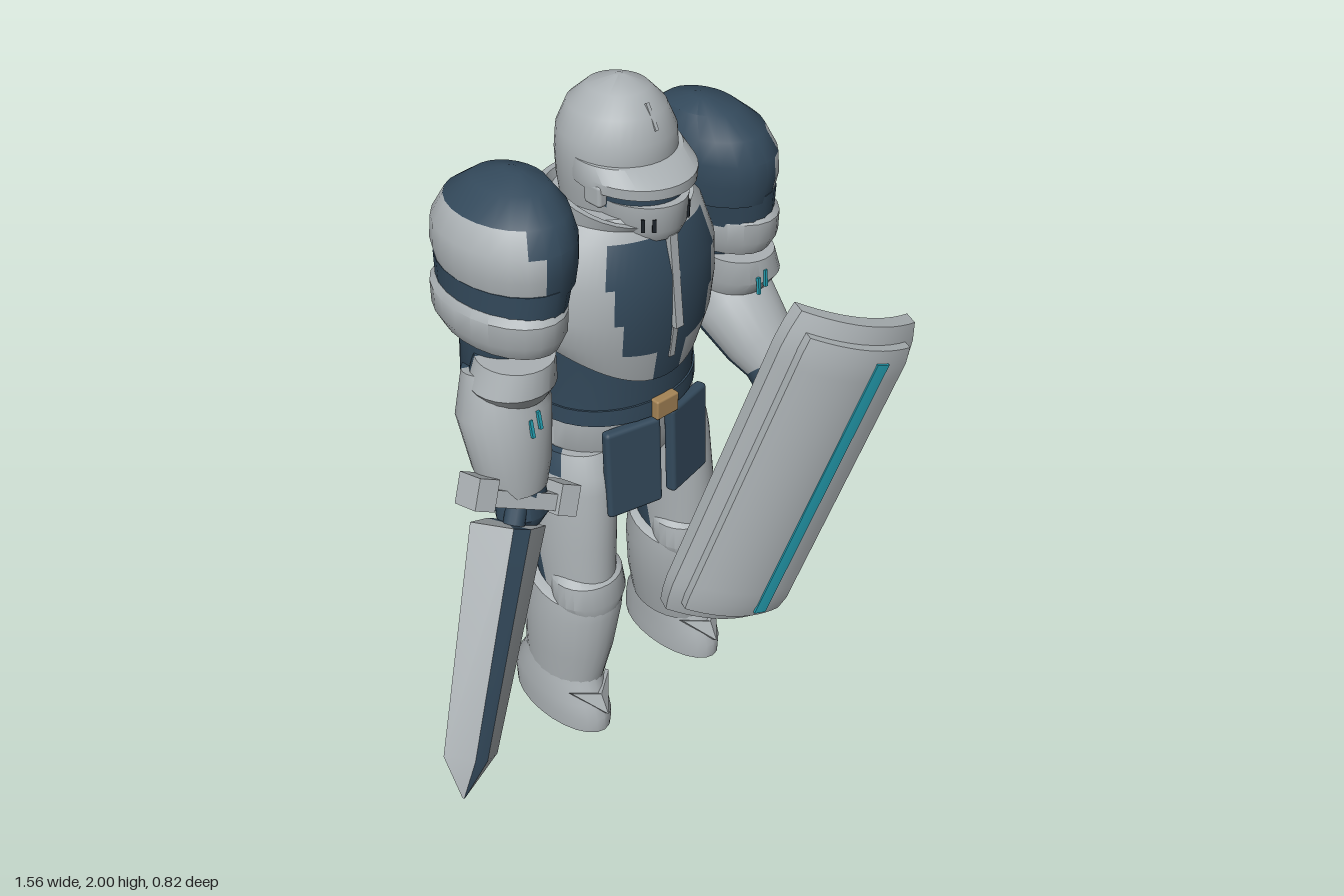
import * as THREE from 'three';
import { toCreasedNormals } from 'three/addons/utils/BufferGeometryUtils.js';
import { RoundedBoxGeometry } from 'three/addons/geometries/RoundedBoxGeometry.js';

const mat = (name, color, side = THREE.FrontSide) => {
  const m = new THREE.MeshStandardMaterial({ color, side });
  m.name = name;
  return m;
};

export function createModel() {
  const light = mat('light armour', 0xabb1b4, THREE.DoubleSide);
  const dark = mat('dark blue armour', 0x33495b);
  const cyan = mat('cyan light', 0x25a2b5);
  const tan = mat('buckle tan', 0xa58456);
  const black = mat('vent black', 0x1c2228);
  const palette = [light, dark];
  const L = 0, D = 1, NONE = -1;

  const root = new THREE.Group();
  root.name = 'armouredKnight';
  const body = new THREE.Group();
  body.name = 'body';
  body.position.x = 0.1;
  root.add(body);

  const add = (parent, name, geo, material, x = 0, y = 0, z = 0) => {
    const m = new THREE.Mesh(geo, material);
    m.name = name;
    m.position.set(x, y, z);
    parent.add(m);
    return m;
  };
  const box = (w, h, d) => new THREE.BoxGeometry(w, h, d);

  // Surface through elliptical rings [y, cx, cz, rx, rz], rising in y.
  // paint(angle in degrees from the front, row) picks a palette entry.
  function loft(parent, name, rings, paint = () => L, o = {}) {
    const seg = o.seg || 36, phase = o.phase || 0, cap = o.cap !== false;
    const shape = o.shape || (a => [Math.sin(a), Math.cos(a)]);
    const pos = [], buckets = [[], []];
    rings.forEach(([y, cx, cz, rx, rz], i) => {
      for (let j = 0; j < seg; j++) {
        const a = (j / seg) * Math.PI * 2 + phase, [sx, sz] = shape(a);
        pos.push(cx + rx * sx, y + (o.lift ? o.lift(a, i) : 0), cz + rz * sz);
      }
    });
    const last = rings.length - 1, e = rings.length * seg;
    for (const i of [0, last]) pos.push(rings[i][1], rings[i][0], rings[i][2]);
    for (let j = 0; j < seg; j++) {
      const k = (j + 1) % seg;
      let deg = ((j + 0.5) / seg) * 360 + phase * 180 / Math.PI;
      deg = ((deg + 180) % 360) - 180;
      for (let i = 0; i < last; i++) {
        const c = paint(deg, i), p = i * seg, q = p + seg;
        if (c !== NONE) buckets[c].push(p + j, p + k, q + k, p + j, q + k, q + j);
      }
      if (!cap) continue;
      buckets[paint(deg, 0)].push(e, k, j);
      buckets[paint(deg, last - 1)].push(e + 1, last * seg + j, last * seg + k);
    }
    const geo = new THREE.BufferGeometry();
    geo.setAttribute('position', new THREE.Float32BufferAttribute(pos, 3));
    geo.setIndex([...buckets[0], ...buckets[1]]);
    geo.addGroup(0, buckets[0].length, 0);
    geo.addGroup(buckets[0].length, buckets[1].length, 1);
    return add(parent, name, toCreasedNormals(geo, 0.6), palette);
  }

  // Group whose y axis follows yDir and whose x axis lies near xDir
  function frame(name, at, xDir, yDir) {
    const y = new THREE.Vector3(...yDir).normalize();
    const z = new THREE.Vector3(...xDir).cross(y).normalize();
    const x = y.clone().cross(z);
    const g = new THREE.Group();
    g.name = name;
    g.quaternion.setFromRotationMatrix(new THREE.Matrix4().makeBasis(x, y, z));
    g.position.set(...at);
    root.add(g);
    return g;
  }

  // Torso: waist, belt and chest
  loft(body, 'waist', [[1.1, 0, -0.15, 0.245, 0.2], [1.22, 0, -0.15, 0.245, 0.205], [1.4, 0, -0.15, 0.27, 0.21]], () => D);
  loft(body, 'belt', [[1.085, 0, -0.15, 0.25, 0.207], [1.135, 0, -0.15, 0.25, 0.207]], () => D);
  add(body, 'buckle', new RoundedBoxGeometry(0.08, 0.06, 0.03, 2, 0.006), tan, 0, 1.11, 0.062);
  const backLimit = [126, 136, 141, 145, 180], frontLimit = [10, 30, 36, 40, 0];
  loft(body, 'chestPlate', [
    [1.34, 0, -0.155, 0.272, 0.222], [1.38, 0, -0.155, 0.298, 0.242], [1.44, 0, -0.155, 0.302, 0.252],
    [1.53, 0, -0.155, 0.295, 0.25], [1.64, 0, -0.15, 0.25, 0.212], [1.69, 0, -0.14, 0.19, 0.17],
  ], (a, i) => (Math.abs(a) < frontLimit[i] || Math.abs(a) > backLimit[i] ? D : L),
  { seg: 72, lift: (a, i) => -[0.13, 0.07, 0.02, 0, 0, 0][i] * Math.cos(a) ** 2 });
  add(body, 'chestKeel', box(0.026, 0.26, 0.016), light, 0, 1.51, 0.09).rotation.x = -0.12;
  add(body, 'chestKeelLower', box(0.018, 0.12, 0.016), light, 0, 1.34, 0.086).rotation.x = 0.12;
  loft(body, 'collar', [[1.63, 0, -0.14, 0.225, 0.2], [1.67, 0, -0.135, 0.2, 0.18], [1.75, 0, -0.13, 0.207, 0.19], [1.75, 0, -0.13, 0.19, 0.172], [1.68, 0, -0.13, 0.17, 0.15]],
    () => L, { cap: false, lift: (a, i) => -[0, 0.02, 0.085, 0.085, 0.05][i] * (Math.cos(a) > 0 ? Math.cos(a) : -0.5 * Math.cos(a)) });

  // Head: helmet, brim, visor and face guard
  const head = new THREE.Group();
  head.name = 'head';
  body.add(head);
  loft(head, 'helmet', [[1.64, 0, -0.14, 0.13, 0.14], [1.74, 0, -0.135, 0.15, 0.152], [1.81, 0, -0.13, 0.155, 0.16],
    [1.87, 0, -0.13, 0.15, 0.155], [1.93, 0, -0.13, 0.122, 0.13], [1.975, 0, -0.125, 0.076, 0.082], [2.0, 0, -0.12, 0.012, 0.012]]);
  loft(head, 'brim', [[1.768, 0, -0.075, 0.158, 0.175], [1.795, 0, -0.075, 0.16, 0.175], [1.83, 0, -0.1, 0.153, 0.14]],
    () => L, { lift: a => -0.01 * Math.cos(a) });
  loft(head, 'visor', [[1.71, 0, -0.065, 0.118, 0.135], [1.765, 0, -0.065, 0.122, 0.138]], () => D);
  loft(head, 'faceGuard', [[1.63, 0, -0.06, 0.1, 0.135], [1.66, 0, -0.06, 0.115, 0.15], [1.73, 0, -0.06, 0.118, 0.153]]);
  add(head, 'crest', box(0.01, 0.07, 0.014), light, 0, 1.925, -0.006).rotation.x = -0.55;
  for (const s of [-1, 1]) {
    for (const x of [0.058, 0.078])
      add(head, 'vent', box(0.01, 0.034, 0.009), black, s * x, 1.682, -0.06 + 0.152 * Math.sqrt(1 - (x / 0.116) ** 2)).rotation.y = s * 0.7;
    add(head, 'earGuard', new RoundedBoxGeometry(0.03, 0.06, 0.06, 2, 0.01), light, s * 0.142, 1.755, -0.05);
  }

  // Hips: pelvis, rear skirt, front plates and pouches
  loft(body, 'pelvis', [[0.92, 0, -0.15, 0.2, 0.17], [1.0, 0, -0.15, 0.25, 0.19], [1.09, 0, -0.15, 0.245, 0.2]]);
  loft(body, 'rearSkirt', [[0.86, 0, -0.15, 0.278, 0.236], [1.0, 0, -0.15, 0.262, 0.22], [1.11, 0, -0.15, 0.253, 0.21]],
    a => (Math.abs(a) > 78 ? L : NONE), { cap: false });

  for (const s of [-1, 1]) {
    const plate = add(body, 'frontPlate', new RoundedBoxGeometry(0.172, 0.28, 0.035, 2, 0.012), dark, s * 0.102, 0.94, 0.045);
    plate.rotation.set(-0.05, s * 0.22, 0);
    add(body, 'pouch', new RoundedBoxGeometry(0.1, 0.14, 0.08, 2, 0.012), dark, s * 0.2, 1.045, -0.31).rotation.y = -s * 2.5;

    // Leg: thigh dark behind and on the inner side
    const leg = new THREE.Group();
    leg.name = s > 0 ? 'leftLeg' : 'rightLeg';
    body.add(leg);
    const thighPaint = (a, i) => (Math.abs(a) > (a * s < 0 ? 85 : [104, 114, 116, 55][i]) ? D : L);
    loft(leg, 'thigh', [[0.46, s * 0.2, -0.08, 0.095, 0.125], [0.7, s * 0.195, -0.115, 0.108, 0.158],
      [0.88, s * 0.18, -0.137, 0.113, 0.168], [0.93, s * 0.175, -0.14, 0.112, 0.163], [0.99, s * 0.165, -0.15, 0.1, 0.14]],
      thighPaint, { seg: 36 });
    loft(leg, 'greave', [[0.15, s * 0.222, -0.125, 0.095, 0.14], [0.28, s * 0.212, -0.115, 0.115, 0.155],
      [0.44, s * 0.203, -0.1, 0.13, 0.16], [0.51, s * 0.2, -0.095, 0.125, 0.152], [0.52, s * 0.2, -0.09, 0.1, 0.13]],
      () => L, { seg: 24, lift: (a, i) => (i > 2 ? -0.03 * Math.cos(a) : 0) });
    loft(leg, 'kneePlate', [[0.45, s * 0.2, -0.03, 0.09, 0.085], [0.5, s * 0.2, -0.035, 0.115, 0.1],
      [0.57, s * 0.2, -0.045, 0.108, 0.1], [0.59, s * 0.2, -0.06, 0.09, 0.08]], () => L, { seg: 24 });
    loft(leg, 'boot', [[0, s * 0.235, -0.125, 0.094, 0.195], [0.05, s * 0.235, -0.125, 0.096, 0.196], [0.1, s * 0.235, -0.13, 0.094, 0.185],
      [0.16, s * 0.23, -0.13, 0.093, 0.152], [0.2, s * 0.228, -0.13, 0.088, 0.138]], () => L, { seg: 24 });
    const flap = new THREE.Shape([[-0.075, 0.055], [0, 0.02], [0.075, 0.055], [0, -0.05]].map(p => new THREE.Vector2(...p)));
    const flapGeo = new THREE.ExtrudeGeometry(flap, { depth: 0.018, bevelEnabled: false });
    const fp = flapGeo.attributes.position;
    for (let i = 0; i < fp.count; i++) fp.setZ(i, fp.getZ(i) - 7 * fp.getX(i) ** 2);
    flapGeo.computeVertexNormals();
    add(leg, 'toeFlap', flapGeo, light, s * 0.233, 0.115, 0.046).rotation.x = -0.45;

    // Shoulder armour, light on the outer side
    const out = a => Math.sin(a * Math.PI / 180) * s;
    const shoulder = new THREE.Group();
    shoulder.name = s > 0 ? 'leftShoulder' : 'rightShoulder';
    body.add(shoulder);
    loft(shoulder, 'pauldron', [[1.59, s * 0.352, -0.153, 0.145, 0.21], [1.65, s * 0.354, -0.153, 0.156, 0.22], [1.71, s * 0.35, -0.153, 0.153, 0.217],
      [1.77, s * 0.34, -0.153, 0.132, 0.182], [1.82, s * 0.325, -0.153, 0.083, 0.11], [1.84, s * 0.315, -0.153, 0.02, 0.03]],
      (a, i) => (out(a) > [0.2, 0.2, 0.4, 2, 2][i] ? L : D), { seg: 24 });
    loft(shoulder, 'shoulderBand', [[1.52, s * 0.37, -0.153, 0.132, 0.205], [1.61, s * 0.36, -0.153, 0.142, 0.214]], () => D, { seg: 24 });
    loft(shoulder, 'lowerBand', [[1.43, s * 0.378, -0.153, 0.118, 0.195], [1.47, s * 0.38, -0.153, 0.136, 0.216],
      [1.53, s * 0.378, -0.153, 0.138, 0.218], [1.55, s * 0.375, -0.153, 0.128, 0.2]], () => L, { seg: 24 });
    loft(shoulder, 'upperArm', [[1.2, s * 0.39, -0.175, 0.06, 0.06], [1.26, s * 0.39, -0.175, 0.088, 0.09], [1.48, s * 0.38, -0.14, 0.1, 0.125]], () => D, { seg: 24 });
    loft(shoulder, 'elbowCuff', [[1.28, s * 0.405, -0.085, 0.095, 0.1], [1.325, s * 0.412, -0.07, 0.115, 0.115], [1.395, s * 0.4, -0.07, 0.1, 0.108]],
      a => (Math.abs(a) > 115 ? D : L), { seg: 24 });
  }

  // Forearms: light in front and outside, dark behind, with a hand
  const arms = [['right', [-0.335, 1.02, -0.05], [-0.32, 1.35, -0.12], 0.008], ['left', [0.525, 1.07, 0.06], [0.5, 1.28, -0.16], -0.02]];
  for (const [name, wrist, elbow, dx] of arms) {
    const dir = elbow.map((v, i) => v - wrist[i]);
    const g = frame(name + 'Forearm', wrist, [1, 0, 0], dir);
    const h = Math.hypot(...dir);
    loft(g, 'vambrace', [[-0.02, 0, 0, 0.085, 0.08], [0.06, 0, 0, 0.11, 0.1], [h * 0.65, 0, 0, 0.13, 0.12], [h, 0, 0, 0.095, 0.09]],
      a => (Math.abs(a) > (a * dx < 0 ? 122 : 100) ? D : L), { seg: 24 });
    loft(g, 'hand', [[-0.13, dx, 0, 0.045, 0.05], [-0.1, dx, 0, 0.075, 0.07], [0, dx, 0, 0.07, 0.07]], () => D, { seg: 20 });
  }

  // Paired light marks on each arm
  for (const [x, y, z, tilt] of [[-0.32, 1.232, 0.027, 0.2], [0.485, 1.33, 0.044, 0.1]])
    for (const d of [-0.013, 0.013])
      add(root, 'armLight', box(0.009, 0.05, 0.009), cyan, x + d, y + d * 0.6, z).rotation.x = -tilt;

  // Sword: six-sided blade with dark fullers, guard and grip
  const sword = frame('sword', [-0.407, 0.94, 0.005], [0.87, -0.45, 0.2], [-0.353, -0.63, 0.2]);
  loft(sword, 'blade', [[0, 0, 0, 0.12, 0.075], [0.63, 0, 0, 0.085, 0.062], [0.75, 0, 0, 0.004, 0.004]],
    a => (Math.abs(a) < 20 || Math.abs(a) > 160 ? D : L),
    { seg: 6, phase: Math.PI / 6, shape: a => [Math.sin(a) * (Math.abs(Math.sin(a)) > 0.9 ? 1 : 0.45), Math.cos(a)] });
  add(sword, 'guard', box(0.28, 0.045, 0.07), light, 0.017, -0.07, 0);
  for (const s of [-1, 1]) add(sword, 'guardEnd', box(0.06, 0.085, 0.1), light, 0.017 + s * 0.13, -0.08, 0);
  add(sword, 'grip', new THREE.CylinderGeometry(0.03, 0.03, 0.16, 12), dark, 0.017, -0.08, 0);

  // Shield: bowed slab with cut corners, raised panel and light stripe
  const shield = frame('shield', [0.425, 0.78, 0.262], [0.9, -0.31, 0.34], [0.277, 0.945, 0.17]);
  const bowed = (w, h, d, cx, cz, cut) => {
    const g = new THREE.BoxGeometry(w, h, d, 12, 20, 1), p = g.attributes.position;
    for (let i = 0; i < p.count; i++) {
      const y = p.getY(i), over = Math.max(0, Math.abs(y) - (h / 2 - cut));
      const x = p.getX(i) * (1 - over * 1.4) + cx;
      p.setXYZ(i, x, y, p.getZ(i) + cz - 1.3 * x * x - over * 0.3);
    }
    return toCreasedNormals(g, 0.6);
  };
  add(shield, 'shieldSlab', bowed(0.43, 1.08, 0.045, 0, 0, 0.08), light);
  add(shield, 'shieldPanel', bowed(0.35, 0.98, 0.04, 0, 0.03, 0.03), light);
  add(shield, 'shieldStripe', bowed(0.044, 0.92, 0.008, 0.07, 0.051, 0), cyan, 0, -0.008, 0);
  add(shield, 'strapPlate', box(0.25, 0.47, 0.025), dark, 0.02, 0, -0.12);
  add(shield, 'strapMount', box(0.1, 0.3, 0.1), dark, 0.02, 0, -0.065);
  add(shield, 'handle', box(0.04, 0.04, 0.06), light, 0.03, 0.13, -0.155);

  return root;
}
